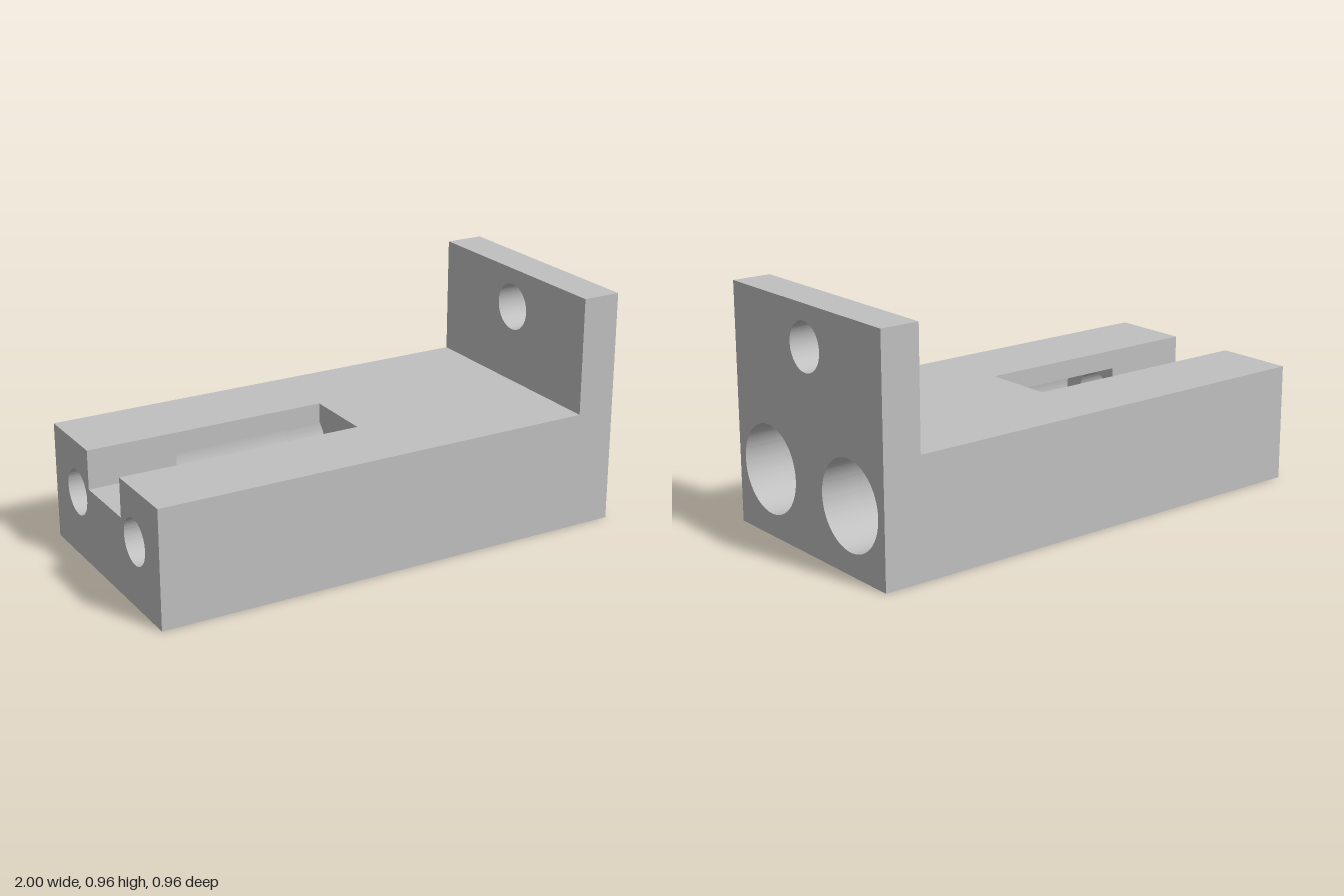
import * as THREE from 'three';
import { mergeGeometries, toCreasedNormals } from 'three/addons/utils/BufferGeometryUtils.js';

const HALF = 0.48, TOP = 0.48, PLATE_TOP = 0.96;
const SLOT_Z = 0.15, SLOT_Y = 0.32;
const BORE_Z = 0.265, BORE_Y = 0.267, BORE_R = 0.177, PILOT_R = 0.093;
// x stations: open end, bore step, slot end, plate face, plate back
const X = [-1, -0.63, 0.01, 0.84, 1];
const SEG = 64;

// angles where the +z bore meets the slot wall and the slot floor
const A_WALL = Math.PI - Math.acos((BORE_Z - SLOT_Z) / BORE_R);
const A_FLOOR = Math.PI - Math.asin((SLOT_Y - BORE_Y) / BORE_R);

// points on a bore, mirrored for side -1
function arc(side, from, to, n) {
  return Array.from({ length: n + 1 }, (_, i) => {
    const a = from + (to - from) * i / n;
    return [side * (BORE_Z + BORE_R * Math.cos(a)), BORE_Y + BORE_R * Math.sin(a)];
  });
}

function shape(points, holes = []) {
  const s = new THREE.Shape(points.map(([x, y]) => new THREE.Vector2(x, y)));
  for (const [x, y, r] of holes) s.holes.push(new THREE.Path().absarc(x, y, r, 0, Math.PI * 2, true));
  return s;
}

const rect = (w, y0, y1) => [[-w, y0], [w, y0], [w, y1], [-w, y1]];
const pair = (r) => [[BORE_Z, BORE_Y, r], [-BORE_Z, BORE_Y, r]];

// side walls only of a cross-section swept along x
function walls(section, x0, x1) {
  const g = new THREE.ExtrudeGeometry(section, { depth: x1 - x0, bevelEnabled: false, curveSegments: SEG });
  const { start, count } = g.groups.find((k) => k.materialIndex === 1);
  const out = new THREE.BufferGeometry();
  for (const name of ['position', 'normal', 'uv']) {
    const a = g.getAttribute(name), n = a.itemSize;
    out.setAttribute(name, new THREE.BufferAttribute(a.array.slice(start * n, (start + count) * n), n));
  }
  return out.rotateY(Math.PI / 2).translate(x0, 0, 0);
}

// flat face at x, looking towards dir along x
function face(section, x, dir) {
  return new THREE.ShapeGeometry(section, SEG).toNonIndexed().rotateY(dir * Math.PI / 2).translate(x, 0, 0);
}

export function createModel() {
  const group = new THREE.Group();
  const grey = new THREE.MeshStandardMaterial({ color: 0xc0c0c0 });
  grey.name = 'grey';
  const add = (name, parts) => {
    const mesh = new THREE.Mesh(toCreasedNormals(mergeGeometries(parts), 0.5), grey);
    mesh.name = name;
    group.add(mesh);
  };

  const longArc = (s) => arc(s, A_WALL, A_FLOOR - Math.PI * 2, SEG);
  const shortArc = (s) => arc(s, A_FLOOR, A_WALL, 8);

  // open end: notched section with the narrow holes
  const notched = shape([
    [-HALF, 0], [HALF, 0], [HALF, TOP], [SLOT_Z, TOP], [SLOT_Z, SLOT_Y],
    [-SLOT_Z, SLOT_Y], [-SLOT_Z, TOP], [-HALF, TOP],
  ], pair(PILOT_R));
  add('slottedEnd', [walls(notched, X[0], X[1]), face(notched, X[0], -1)]);

  // middle: the slot breaks into both wide bores
  const opened = shape([
    [-HALF, 0], [HALF, 0], [HALF, TOP], [SLOT_Z, TOP], ...longArc(1),
    ...longArc(-1).reverse(), [-SLOT_Z, TOP], [-HALF, TOP],
  ]);
  const slotEnd = shape([
    ...shortArc(1), [SLOT_Z, TOP], [-SLOT_Z, TOP], ...shortArc(-1).reverse(),
  ]);
  add('openSlot', [walls(opened, X[1], X[2]), face(slotEnd, X[2], -1)]);

  // steps between the wide bores and the narrow holes
  add('boreSteps', [1, -1].map((s) => face(
    shape([...longArc(s), [s * SLOT_Z, SLOT_Y]], [[s * BORE_Z, BORE_Y, PILOT_R]]),
    X[1], 1,
  )));

  // solid body behind the slot
  add('body', [walls(shape(rect(HALF, 0, TOP), pair(BORE_R)), X[2], X[3])]);

  // upright end plate with its mounting hole
  const mount = [0, 0.798, 0.097];
  const plate = shape(rect(HALF, 0, PLATE_TOP), [...pair(BORE_R), mount]);
  add('endPlate', [
    walls(plate, X[3], X[4]),
    face(plate, X[4], 1),
    face(shape(rect(HALF, TOP, PLATE_TOP), [mount]), X[3], -1),
  ]);

  return group;
}
